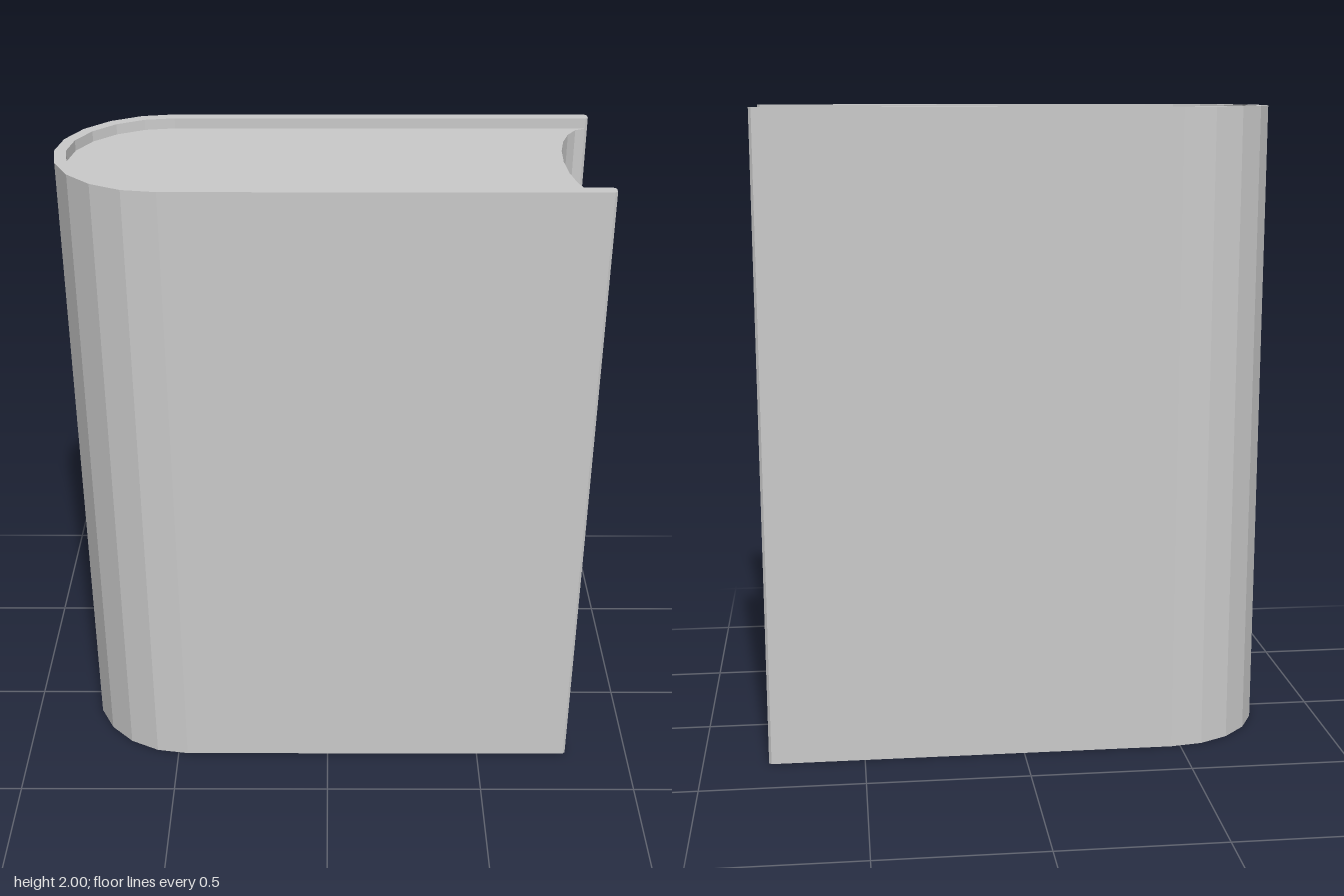
import * as THREE from 'three';

const material = new THREE.MeshStandardMaterial({ color: 0xcccccc, flatShading: true });

// Half ellipse bulging to -x, running from +z round to -z in ten straight facets
function halfEllipse(cx, rx, rz) {
  const points = [];
  for (let i = 0; i <= 10; i++) {
    const a = Math.PI / 2 + (i * Math.PI) / 10;
    points.push(new THREE.Vector2(cx + rx * Math.cos(a), rz * Math.sin(a)));
  }
  return points;
}

// Upright prism over a plan outline
function prism(name, points, y0, y1) {
  const geometry = new THREE.ExtrudeGeometry(new THREE.Shape(points), {
    depth: y1 - y0, bevelEnabled: false,
  });
  geometry.rotateX(-Math.PI / 2);
  geometry.translate(0, y0, 0);
  const mesh = new THREE.Mesh(geometry, material);
  mesh.name = name;
  return mesh;
}

export function createModel() {
  const group = new THREE.Group();
  group.name = 'book';

  const spineX = -0.47, endX = 0.797, chamfer = 0.008;
  const outerZ = 0.325, innerZ = 0.288;
  const v = (x, z) => new THREE.Vector2(x, z);

  // Cover: two boards joined by a rounded spine, with chamfered free edges
  const outer = halfEllipse(spineX, 0.328, outerZ);
  const inner = halfEllipse(spineX, 0.293, innerZ).reverse();
  group.add(prism('cover', [
    v(endX, innerZ + chamfer), v(endX, outerZ - chamfer), v(endX - chamfer, outerZ),
    ...outer,
    v(endX - chamfer, -outerZ), v(endX, -outerZ + chamfer),
    v(endX, -innerZ - chamfer), v(endX - chamfer, -innerZ),
    ...inner,
    v(endX - chamfer, innerZ),
  ], 0, 2));

  // Page block: rounded at the spine, hollowed along the fore edge
  const back = halfEllipse(spineX, 0.293, innerZ);
  const foreEdge = halfEllipse(endX - chamfer, 0.1, innerZ).reverse();
  group.add(prism('pages', [...back, ...foreEdge], 0.035, 1.968));

  return group;
}
